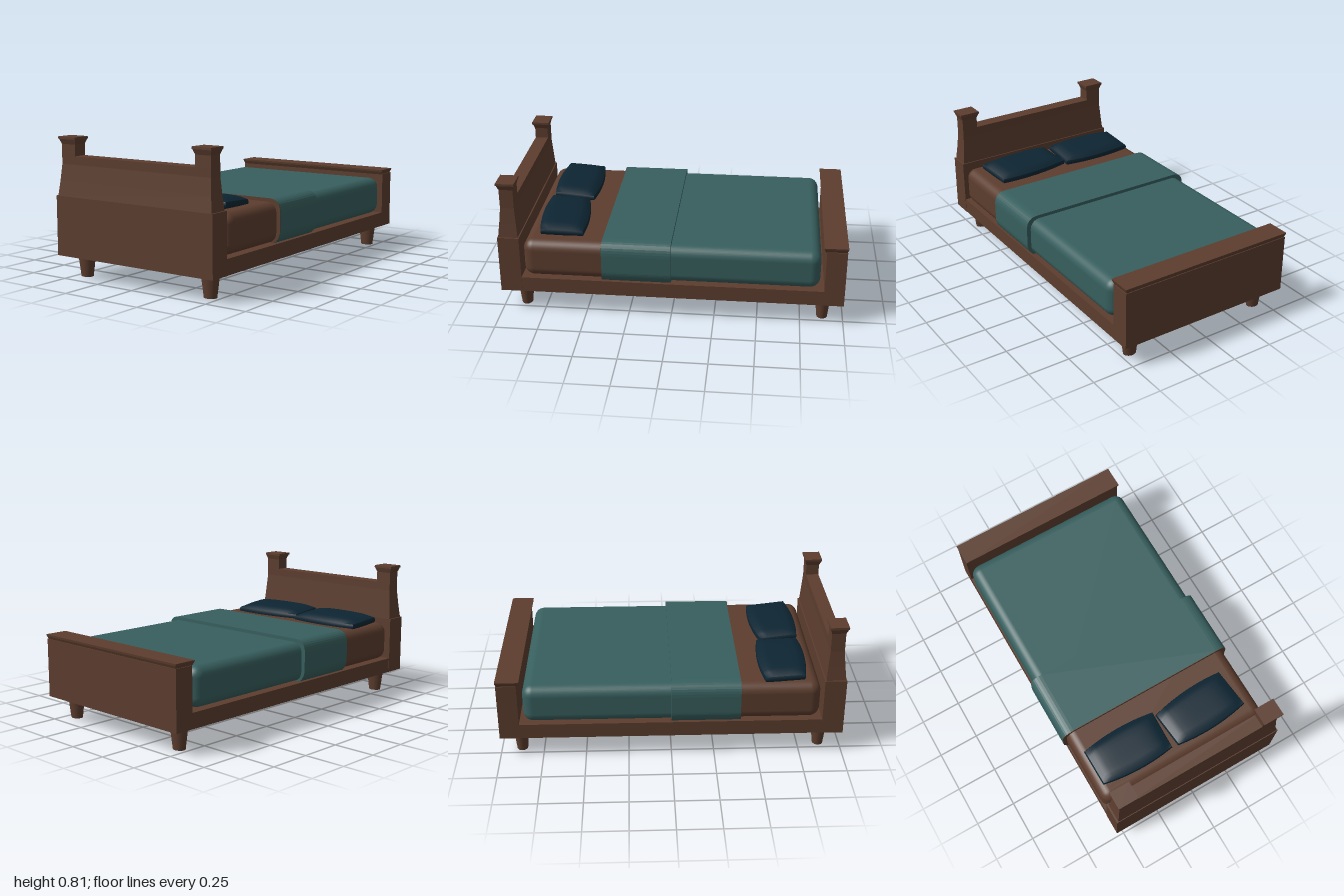
import * as THREE from 'three';
import { RoundedBoxGeometry } from 'three/addons/geometries/RoundedBoxGeometry.js';

const mat = (name, color) => Object.assign(new THREE.MeshStandardMaterial({ color }), { name });

// Solid from stacked rectangles: each row is [y, x0, x1, z0, z1]
function loft(rows) {
  const pos = [], idx = [];
  for (const [y, x0, x1, z0, z1] of rows) pos.push(x0, y, z1, x1, y, z1, x1, y, z0, x0, y, z0);
  for (let r = 0; r < rows.length - 1; r++) {
    for (let i = 0; i < 4; i++) {
      const a = r * 4 + i, b = r * 4 + (i + 1) % 4;
      idx.push(a, b, b + 4, a, b + 4, a + 4);
    }
  }
  const t = (rows.length - 1) * 4;
  idx.push(0, 2, 1, 0, 3, 2, t, t + 1, t + 2, t, t + 2, t + 3);
  const g = new THREE.BufferGeometry();
  g.setAttribute('position', new THREE.Float32BufferAttribute(pos, 3));
  g.setIndex(idx);
  const flat = g.toNonIndexed();
  flat.computeVertexNormals();
  return flat;
}

// Rounded rectangle outline for the folded blanket
function roundedRect(x, y0, y1, r) {
  const s = new THREE.Shape();
  s.moveTo(-x + r / 2, y0).lineTo(x - r / 2, y0);
  s.quadraticCurveTo(x, y0 + r * 0.4, x, y0 + r);
  s.lineTo(x, y1 - r).quadraticCurveTo(x, y1, x - r, y1);
  s.lineTo(-x + r, y1).quadraticCurveTo(-x, y1, -x, y1 - r);
  s.lineTo(-x, y0 + r).quadraticCurveTo(-x, y0 + r * 0.4, -x + r / 2, y0);
  return s;
}

// Puffed cushion spanning four plan corners [x, z]: back left, back right, front right, front left
function pillowGeometry([a, b, c, d]) {
  const g = new THREE.BoxGeometry(2, 2, 2, 14, 4, 10);
  const p = g.attributes.position;
  for (let i = 0; i < p.count; i++) {
    const u = p.getX(i), h = p.getY(i), v = p.getZ(i);
    const s = (u + 1) / 2, t = (v + 1) / 2;
    const mix = k => (a[k] * (1 - s) + b[k] * s) * (1 - t) + (d[k] * (1 - s) + c[k] * s) * t;
    const round = 1 - 0.025 * h * h;
    const cx = (a[0] + b[0] + c[0] + d[0]) / 4, cz = (a[1] + b[1] + c[1] + d[1]) / 4;
    const x = cx + (mix(0) - cx) * round;
    const z = cz + (mix(1) - cz) * round + 0.022 * v * (1 - u * u);
    const puff = 0.016 + 0.024 * Math.sqrt((1 - u ** 4) * (1 - v ** 4));
    p.setXYZ(i, x, 0.473 + 0.008 * v + h * puff, z);
  }
  g.computeVertexNormals();
  return g;
}

export function createModel() {
  const wood = mat('brown wood', 0x5c3d2e);
  const teal = mat('teal blanket', 0x375f5e);
  const navy = mat('navy fabric', 0x0d2532);
  const bed = new THREE.Group();
  bed.name = 'bed';
  const add = (name, geo, material, x = 0, y = 0, z = 0) => {
    const m = new THREE.Mesh(geo, material);
    m.name = name;
    m.position.set(x, y, z);
    bed.add(m);
    return m;
  };

  // Frame
  add('bedBase', new THREE.BoxGeometry(1.09, 0.09, 1.8), wood, 0, 0.175, 0);

  // Tapered, slightly elliptical legs
  for (const x of [-0.44, 0.44]) {
    for (const z of [-0.88, 0.875]) {
      add('leg', new THREE.CylinderGeometry(0.055, 0.038, 0.132, 20), wood, x, 0.066, z).scale.z = 0.83;
    }
  }

  // Headboard: block, sloping panel, posts and flared caps
  add('headboardBase', loft([
    [0.13, -0.547, 0.547, 0.875, 1], [0.475, -0.547, 0.547, 0.875, 1],
  ]), wood);
  add('headboardPanel', loft([
    [0.475, -0.537, 0.537, 0.882, 0.996],
    [0.56, -0.528, 0.528, 0.888, 0.985],
    [0.655, -0.52, 0.52, 0.895, 0.975],
    [0.703, -0.52, 0.52, 0.895, 0.975],
  ]), wood);
  for (const s of [-1, 1]) {
    const x0 = s * 0.47 - 0.05, x1 = s * 0.47 + 0.05;
    add('headboardPost', loft([
      [0.70, x0, x1, 0.895, 0.975],
      [0.768, x0, x1, 0.895, 0.975],
      [0.797, x0 - 0.011, x1 + 0.011, 0.886, 0.986],
      [0.797, x0 - 0.013, x1 + 0.013, 0.884, 0.99],
      [0.81, x0 - 0.013, x1 + 0.013, 0.884, 0.99],
    ]), wood);
  }

  // Footboard with flared cap
  add('footboard', loft([
    [0.13, -0.545, 0.545, -0.996, -0.88], [0.475, -0.545, 0.545, -0.996, -0.88],
  ]), wood);
  add('footboardCap', loft([
    [0.472, -0.538, 0.538, -0.99, -0.875],
    [0.49, -0.546, 0.546, -0.998, -0.866],
    [0.502, -0.549, 0.549, -1, -0.864],
  ]), wood);

  // Mattress and blanket meet beneath the fold
  add('mattress', new RoundedBoxGeometry(1.09, 0.23, 0.7, 5, 0.06), wood, 0, 0.34, 0.51);
  add('blanket', new RoundedBoxGeometry(1.09, 0.23, 1.155, 5, 0.06), teal, 0, 0.34, -0.2775);

  // Folded blanket band with its lining edge
  const band = roundedRect(0.57, 0.225, 0.475, 0.075);
  const extrude = depth => new THREE.ExtrudeGeometry(band, { depth, bevelEnabled: false, curveSegments: 8 });
  add('blanketFold', extrude(0.397), teal);
  add('foldLining', extrude(0.003), wood, 0, 0, 0.397);

  // Pillows
  add('rightPillow', pillowGeometry([[-0.505, 0.54], [-0.035, 0.535], [-0.045, 0.778], [-0.505, 0.768]]), navy);
  add('leftPillow', pillowGeometry([[-0.03, 0.56], [0.44, 0.52], [0.462, 0.765], [-0.01, 0.785]]), navy);

  return bed;
}
